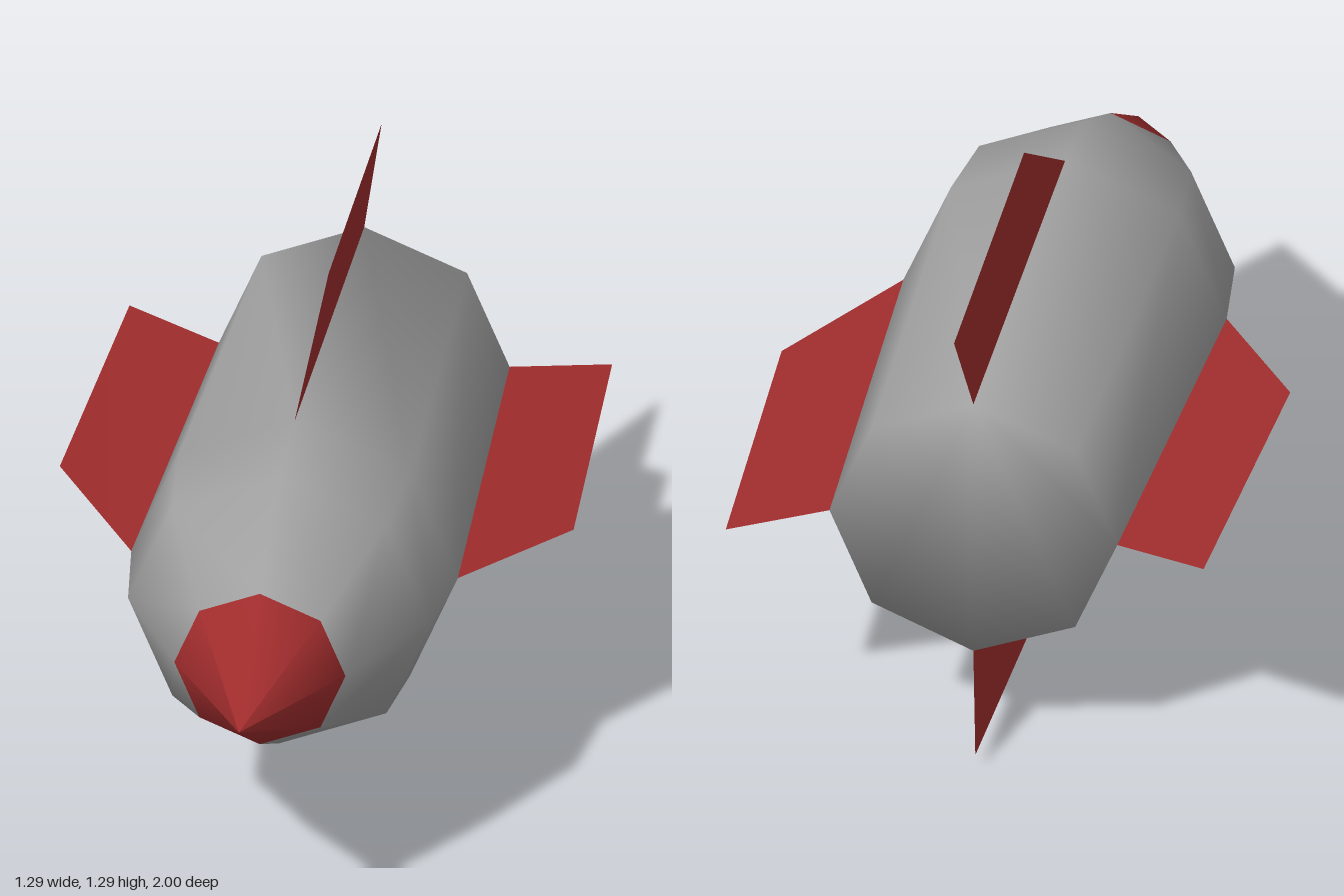
import * as THREE from 'three';

const SIDES = 8;
const AXIS_Y = 0.648;

// Octagonal tube skinned over [z, radius] rings, front to back, with a flat tail cap
function hullGeometry(rings) {
  const positions = [], index = [];
  rings.forEach(([z, r]) => {
    for (let i = 0; i < SIDES; i++) {
      const a = Math.PI / 2 + (i / SIDES) * Math.PI * 2;
      positions.push(Math.cos(a) * r, Math.sin(a) * r, z);
    }
  });
  for (let k = 0; k < rings.length - 1; k++) {
    for (let i = 0; i < SIDES; i++) {
      const j = (i + 1) % SIDES;
      const a = k * SIDES + i, b = k * SIDES + j;
      const c = a + SIDES, d = b + SIDES;
      index.push(a, c, d, a, d, b);
    }
  }
  const last = (rings.length - 1) * SIDES;
  for (let i = 1; i < SIDES - 1; i++) index.push(last, last + i + 1, last + i);
  const g = new THREE.BufferGeometry();
  g.setAttribute('position', new THREE.Float32BufferAttribute(positions, 3));
  g.setIndex(index);
  g.computeVertexNormals();
  return g;
}

// Swept fin on the hull top, leaning slightly sideways
function finGeometry() {
  const corners = [
    0, 0.41, 0.155,
    0, 0.365, -0.9,
    0.027, 0.606, -1,
    0.03, 0.645, -0.18,
  ];
  const g = new THREE.BufferGeometry();
  g.setAttribute('position', new THREE.Float32BufferAttribute(corners, 3));
  g.setIndex([0, 1, 2, 0, 2, 3]);
  g.computeVertexNormals();
  return g;
}

export function createModel() {
  const grey = new THREE.MeshStandardMaterial({ color: 0xa0a0a0 });
  grey.name = 'hullGrey';
  const red = new THREE.MeshStandardMaterial({ color: 0xa02c2d, side: THREE.DoubleSide });
  red.name = 'finRed';

  const model = new THREE.Group();
  model.name = 'rocket';

  // Hull
  const hull = new THREE.Mesh(
    hullGeometry([[0.68, 0.215], [0.385, 0.38], [0.155, 0.41], [-0.9, 0.365]]), grey);
  hull.name = 'hull';
  hull.position.y = AXIS_Y;
  model.add(hull);

  // Nose cone
  const nose = new THREE.Mesh(
    new THREE.ConeGeometry(0.215, 0.32, SIDES, 1, true).rotateX(Math.PI / 2), red);
  nose.name = 'noseCone';
  nose.position.set(0, AXIS_Y, 0.84);
  model.add(nose);

  // Four tail fins
  const finShape = finGeometry();
  ['topFin', 'rightFin', 'bottomFin', 'leftFin'].forEach((name, i) => {
    const fin = new THREE.Mesh(finShape, red);
    fin.name = name;
    fin.position.y = AXIS_Y;
    fin.rotation.z = (i * Math.PI) / 2;
    model.add(fin);
  });

  return model;
}
